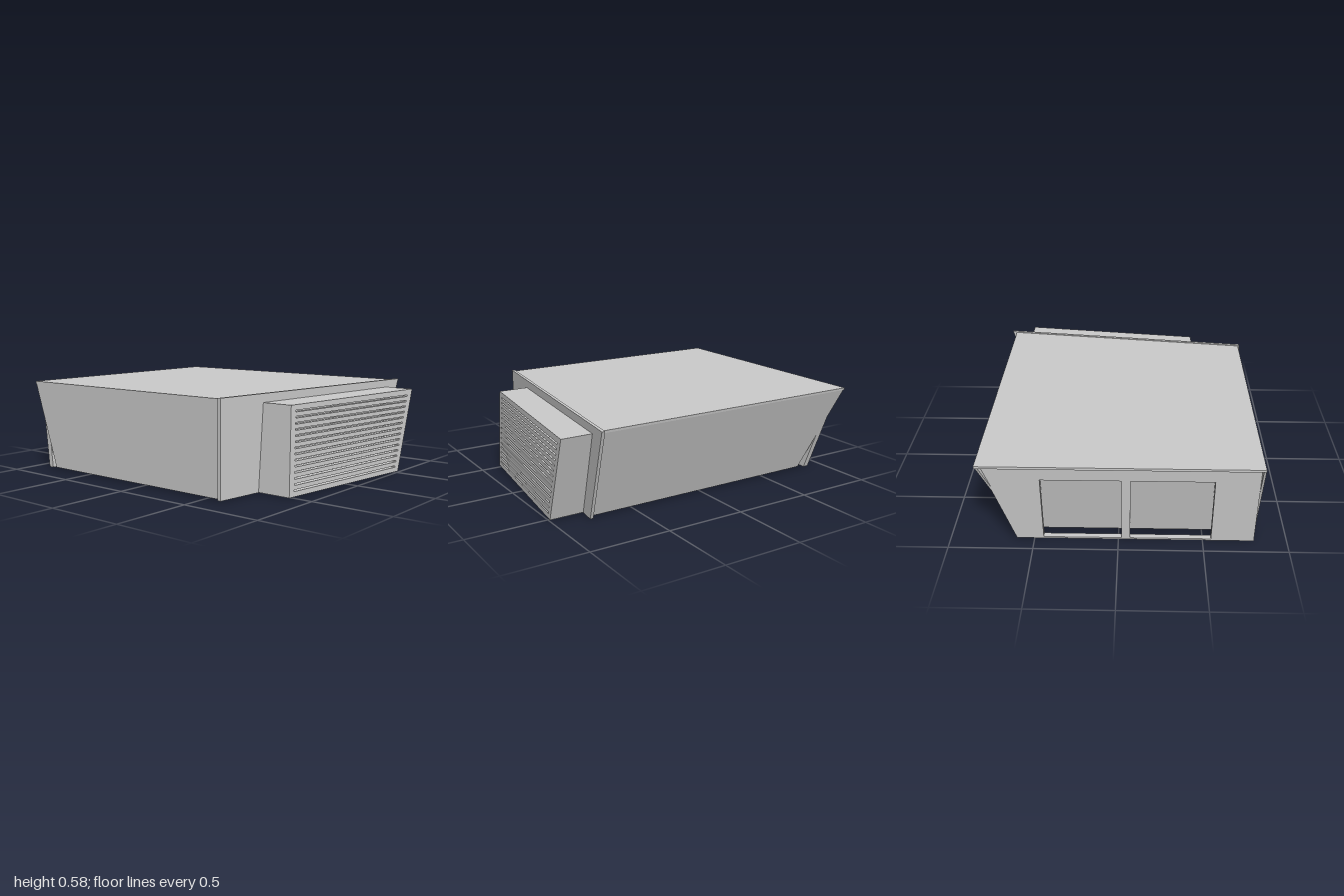
import * as THREE from 'three';

const mat = new THREE.MeshStandardMaterial({ color: 0xcccccc, flatShading: true });

function addMesh(group, name, geo) {
  geo.computeVertexNormals();
  const mesh = new THREE.Mesh(geo, mat);
  mesh.name = name;
  group.add(mesh);
}

// Closed block from 4 bottom and 4 top corners: front -x, front +x, back +x, back -x
function block(c) {
  const faces = [[0, 3, 2, 1], [4, 5, 6, 7]];
  for (let i = 0; i < 4; i++) {
    const j = (i + 1) % 4;
    faces.push([i, j, j + 4, i + 4]);
  }
  const pos = [];
  for (const [a, b, d, e] of faces) for (const k of [a, b, d, a, d, e]) pos.push(...c[k]);
  const geo = new THREE.BufferGeometry();
  geo.setAttribute('position', new THREE.Float32BufferAttribute(pos, 3));
  return geo;
}

// Outline extruded between two sloping surfaces z = back(x, y) and z = front(x, y)
function plate(outline, holes, back, front) {
  const toPoints = (pts) => pts.map(([x, y]) => new THREE.Vector2(x, y));
  const shape = new THREE.Shape(toPoints(outline));
  for (const h of holes) shape.holes.push(new THREE.Path(toPoints(h)));
  const geo = new THREE.ExtrudeGeometry(shape, { depth: 1, bevelEnabled: false });
  const p = geo.attributes.position;
  for (let i = 0; i < p.count; i++) {
    const x = p.getX(i), y = p.getY(i);
    p.setZ(i, THREE.MathUtils.lerp(back(x, y), front(x, y), p.getZ(i)));
  }
  return geo;
}

const Y0 = 0.01, Y1 = 0.56;
const panelFront = (x) => 0.718 + 0.124 * x;
const panelBack = (x) => 0.698 + 0.124 * x;
const grilleFront = (x, y) => 0.911 + 0.122 * x + 0.022 * (1 - y / 0.53);
const grilleBack = (x, y) => grilleFront(x, y) - 0.03;
const rightX = (y) => 0.6 + 0.2 * (y / 0.575); // slanted +x wall

export function createModel() {
  const g = new THREE.Group();
  g.name = 'housing';

  // Main body with its back wall leaning in towards the floor
  const ring = (y, zBack) => {
    const r = rightX(y) - 0.005;
    return [[-0.815, y, panelBack(-0.815)], [r, y, panelBack(r)], [r, y, zBack], [-0.815, y, zBack]];
  };
  addMesh(g, 'body', block([...ring(Y0, -0.81), ...ring(Y1, -0.935)]));

  // Side walls reaching past the back wall up to the roof edge
  const wallRing = (a, b, y, zBack) =>
    [[a, y, panelBack(a)], [b, y, panelBack(b)], [b, y, zBack], [a, y, zBack]];
  addMesh(g, 'rightSideWall', block([
    ...wallRing(-0.82, -0.806, Y0, -0.81), ...wallRing(-0.82, -0.806, Y1, -0.995)]));
  addMesh(g, 'leftSideWall', block([
    ...wallRing(rightX(Y0) - 0.014, rightX(Y0), Y0, -0.81),
    ...wallRing(rightX(Y1) - 0.014, rightX(Y1), Y1, -0.995)]));

  // Roof sheet
  addMesh(g, 'roof', block([...wallRing(-0.82, 0.797, 0.558, -1), ...wallRing(-0.82, 0.8, 0.573, -1)]));

  // Slanted front panel
  addMesh(g, 'frontPanel', plate(
    [[-0.83, 0.004], [0.63, 0.004], [0.828, 0.578], [-0.83, 0.578]], [], panelBack, panelFront));

  // Grille box: open surround plus slotted face
  const outer = [[-0.53, 0.005], [0.52, 0.005], [0.69, 0.53], [-0.495, 0.526]];
  const inner = [[-0.51, 0.02], [0.505, 0.02], [0.668, 0.512], [-0.478, 0.51]];
  addMesh(g, 'grilleSurround', plate(outer, [inner], panelFront, grilleBack));
  const slots = [];
  for (let i = 0; i < 14; i++) {
    const y = 0.04 + i * 0.0346, t = i / 13;
    const l = -0.487 + 0.03 * t, r = 0.49 + 0.142 * t, h = 0.005;
    slots.push([[l, y - h], [r, y - h], [r + 0.003, y + h], [l, y + h]]);
  }
  addMesh(g, 'grilleFace', plate(outer, slots, grilleBack, grilleFront));

  // Upright ribs behind the slots
  for (const x of [-0.08, 0.43]) {
    addMesh(g, 'grilleRib', plate(
      [[x, 0.006], [x + 0.05, 0.006], [x + 0.05, 0.515], [x, 0.515]], [],
      (a, b) => grilleBack(a, b) - 0.03, grilleBack));
  }

  // Back frame with two openings over a thin sill
  const frameOuter = (x, y) => -0.9 - 0.1 * y;
  const frameInner = (x, y) => frameOuter(x, y) + 0.036;
  const openings = [[-0.55, -0.07], [-0.02, 0.445]].map(([a, b]) =>
    [[a, 0.012], [b, 0.012], [b, 0.45], [a, 0.45]]);
  addMesh(g, 'backFrame', plate(
    [[-0.805, 0], [0.605, 0], [0.785, 0.56], [-0.805, 0.56]], openings, frameOuter, frameInner));

  return g;
}
